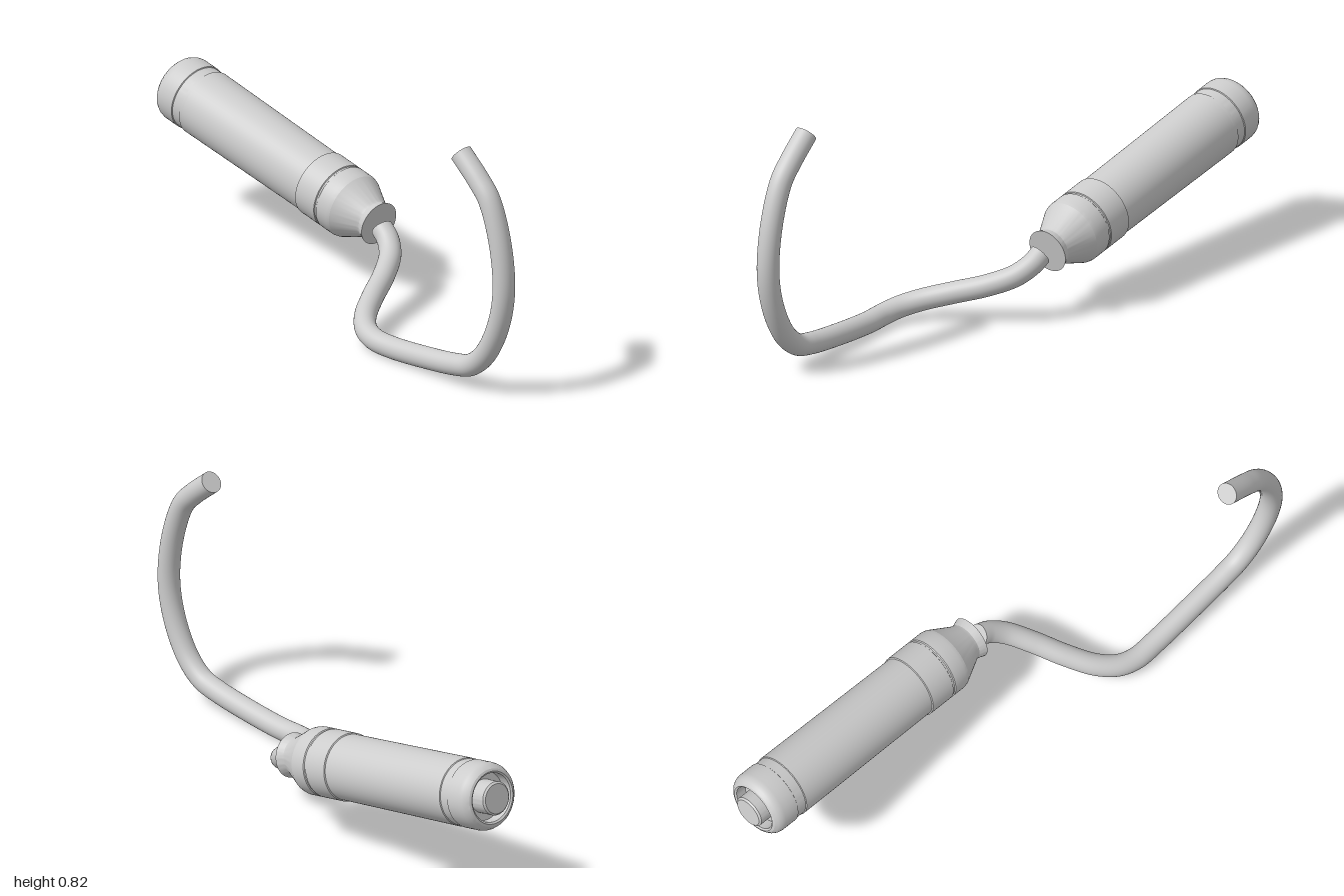
import * as THREE from 'three';
import { toCreasedNormals } from 'three/addons/utils/BufferGeometryUtils.js';

export function createModel() {
  const model = new THREE.Group();
  model.name = 'hookWithHandle';
  const steel = new THREE.MeshStandardMaterial({ color: 0xcccccc });
  steel.name = 'lightGrey';

  // Handle axis, from the rear end to the tip
  const rear = new THREE.Vector3(-0.965, 0.427, -0.162);
  const tip = new THREE.Vector3(-0.016, 0.232, -0.139);
  const handle = new THREE.Group();
  handle.name = 'handle';
  handle.position.copy(rear);
  handle.quaternion.setFromUnitVectors(new THREE.Vector3(0, 1, 0), tip.sub(rear).normalize());
  model.add(handle);

  // Turned part from [radius, distance along the axis] pairs
  function turned(name, profile) {
    const points = profile.map(([r, t]) => new THREE.Vector2(r, t));
    const mesh = new THREE.Mesh(toCreasedNormals(new THREE.LatheGeometry(points, 64), 0.4), steel);
    mesh.name = name;
    handle.add(mesh);
  }

  turned('endKnob', [[0, -0.025], [0.049, -0.025], [0.055, -0.019], [0.055, 0.05]]);

  // Rear cap with a rounded rim around a recess, and a step band
  turned('rearCap', [
    [0.05, 0.04], [0.08, 0.04], [0.08, 0.002], [0.086, -0.002], [0.094, 0.001],
    [0.103, 0.01], [0.109, 0.022], [0.111, 0.035], [0.111, 0.09], [0.108, 0.092],
    [0.108, 0.126], [0.111, 0.128], [0.111, 0.14],
  ]);

  // Long grip with a very slight taper
  turned('grip', [[0.111, 0.14], [0.109, 0.4], [0.107, 0.69]]);

  // Front collar, cone and flared tip
  turned('frontCollar', [
    [0.107, 0.69], [0.111, 0.692], [0.111, 0.74], [0.111, 0.782], [0.108, 0.784],
    [0.108, 0.79], [0.111, 0.793], [0.111, 0.84], [0.108, 0.853],
  ]);
  turned('frontCone', [
    [0.108, 0.853], [0.066, 0.935], [0.064, 0.945], [0.073, 0.971], [0, 0.971],
  ]);

  // Bent rod
  const path = new THREE.CatmullRomCurve3([
    [0.01, 0.225, -0.13], [0.045, 0.201, -0.122], [0.09, 0.168, -0.09], [0.14, 0.132, -0.015],
    [0.19, 0.1, 0.08], [0.245, 0.072, 0.165], [0.3, 0.054, 0.212], [0.36, 0.043, 0.231],
    [0.44, 0.04, 0.233], [0.6, 0.051, 0.233], [0.74, 0.068, 0.233], [0.805, 0.085, 0.233],
    [0.865, 0.132, 0.233], [0.915, 0.21, 0.233], [0.95, 0.31, 0.233], [0.96, 0.41, 0.233],
    [0.94, 0.55, 0.233], [0.893, 0.674, 0.233], [0.845, 0.727, 0.233], [0.762, 0.798, 0.233],
  ].map((p) => new THREE.Vector3(...p)), false, 'centripetal');
  const radius = 0.036;
  const rod = new THREE.Mesh(new THREE.TubeGeometry(path, 160, radius, 32), steel);
  rod.name = 'hookRod';
  model.add(rod);

  // Flat ends of the rod
  for (const end of [0, 1]) {
    const cap = new THREE.Mesh(new THREE.CircleGeometry(radius, 32), steel);
    cap.name = end ? 'hookEnd' : 'hookRoot';
    cap.position.copy(path.getPointAt(end));
    const outward = path.getTangentAt(end).multiplyScalar(end ? 1 : -1);
    cap.quaternion.setFromUnitVectors(new THREE.Vector3(0, 0, 1), outward);
    model.add(cap);
  }
  return model;
}
